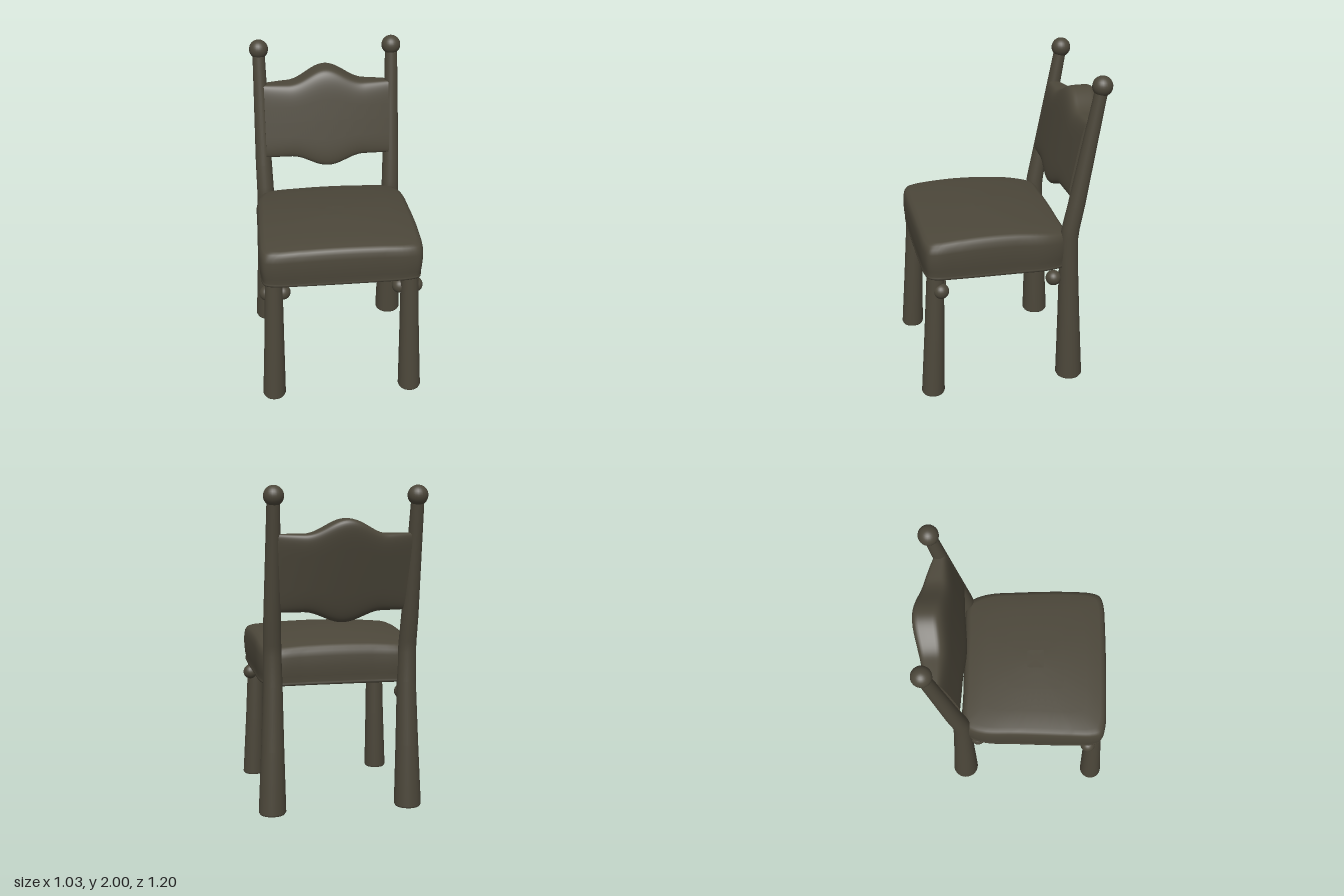
import * as THREE from 'three';

// Skin a stack of closed rings and close both ends with flat caps.
function loft(rings) {
  const n = rings[0].length, pos = [], index = [];
  rings.forEach(r => r.forEach(p => pos.push(p.x, p.y, p.z)));
  for (let i = 0; i < rings.length - 1; i++) {
    for (let j = 0; j < n; j++) {
      const a = i * n + j, b = i * n + (j + 1) % n;
      index.push(a, a + n, b, b, a + n, b + n);
    }
  }
  [rings[0], rings[rings.length - 1]].forEach((ring, end) => {
    const c = new THREE.Vector3();
    ring.forEach(p => c.addScaledVector(p, 1 / n));
    const base = pos.length / 3;
    [c, ...ring].forEach(p => pos.push(p.x, p.y, p.z));
    for (let j = 0; j < n; j++) {
      const a = base + 1 + j, b = base + 1 + (j + 1) % n;
      if (end) index.push(base, b, a);
      else index.push(base, a, b);
    }
  });
  const g = new THREE.BufferGeometry();
  g.setAttribute('position', new THREE.Float32BufferAttribute(pos, 3));
  g.setIndex(index);
  g.computeVertexNormals();
  return g;
}

// Round pole through stations [x, y, z, radius].
function pole(stations, side) {
  return loft(stations.map(([x, y, z, r]) => Array.from({ length: 28 }, (_, j) => {
    const a = j / 28 * Math.PI * 2;
    return new THREE.Vector3(side * x + r * Math.cos(a), y, z + r * Math.sin(a));
  })));
}

// Cushion: a rounded outline stacked in layers up to a domed top.
function seatGeometry() {
  const half = [[0.2, -0.345], [0.42, -0.34], [0.455, -0.3], [0.485, -0.2], [0.492, 0],
    [0.5, 0.35], [0.495, 0.49], [0.475, 0.54], [0.42, 0.56], [0.25, 0.568]];
  const full = [...half, ...half.map(([x, z]) => [-x, z]).reverse()];
  const outline = new THREE.CatmullRomCurve3(
    full.map(([x, z]) => new THREE.Vector3(x, 0, z)), true).getPoints(100).slice(0, -1);
  // [outline scale, height fraction]
  const layers = [[0.96, 0], [0.985, 0.02], [0.988, 0.07], [0.978, 0.1], [0.992, 0.25], [1, 0.5],
    [0.998, 0.75], [0.985, 0.88], [0.96, 0.96], [0.91, 0.995], [0.7, 1], [0.4, 1], [0.12, 1]];
  const zc = 0.115;
  return loft(layers.map(([s, f]) => outline.map(p => {
    const x = p.x * s, z = zc + (p.z - zc) * s;
    const bottom = 0.8 + 0.035 * z;
    const top = 1.09 - 0.1 * x * x - 0.2 * (z - 0.2) ** 2;
    return new THREE.Vector3(x, bottom + (top - bottom) * f, z);
  })));
}

// Leaning back panel with a wavy top and bottom, bowed towards the rear.
function backGeometry() {
  const soft = v => Math.sign(v) * Math.abs(v) ** 0.4;
  const bump = (x, w) => Math.abs(x) < w ? 0.5 + 0.5 * Math.cos(Math.PI * x / w) : 0;
  const rings = [], steps = 48, n = 56;
  for (let i = 0; i <= steps; i++) {
    const x = -0.405 + 0.81 * i / steps;
    const bow = 1 - (x / 0.405) ** 2;
    const top = 1.72 + 0.09 * bump(x, 0.25);
    const low = 1.25 - 0.068 * bump(x, 0.24);
    rings.push(Array.from({ length: n }, (_, j) => {
      const a = j / n * Math.PI * 2;
      const y = (top + low) / 2 + (top - low) / 2 * soft(Math.cos(a));
      const h = y - 1.25;
      const front = -0.33 + 0.02 * bow - 0.2 * h;
      const back = -0.41 - 0.055 * bow - (0.22 + 0.07 * bow) * h;
      const z = (front + back) / 2 - (front - back) / 2 * soft(Math.sin(a));
      return new THREE.Vector3(x, y, z);
    }));
  }
  return loft(rings);
}

export function createModel() {
  const model = new THREE.Group();
  const wood = new THREE.MeshStandardMaterial({ color: 0x4c473a });
  wood.name = 'dark wood';

  const add = (name, geometry, x = 0, y = 0, z = 0) => {
    const mesh = new THREE.Mesh(geometry, wood);
    mesh.name = name;
    mesh.position.set(x, y, z);
    model.add(mesh);
  };
  const ball = r => new THREE.SphereGeometry(r, 24, 16);

  add('seat', seatGeometry());
  add('backrest', backGeometry());

  for (const side of [1, -1]) {
    const label = side > 0 ? 'left' : 'right';
    // Front leg, flared towards the floor
    add(label + 'FrontLeg', pole([[0.436, 0, 0.529, 0.066], [0.436, 0.012, 0.529, 0.072],
      [0.426, 0.4, 0.511, 0.062], [0.416, 0.85, 0.49, 0.053]], side));
    // Rear leg running up into the leaning back post
    add(label + 'BackPost', pole([[0.43, 0, -0.365, 0.078], [0.43, 0.012, -0.365, 0.085],
      [0.424, 0.4, -0.356, 0.071], [0.418, 0.8, -0.347, 0.059], [0.42, 0.98, -0.345, 0.056],
      [0.421, 1.05, -0.354, 0.055], [0.424, 1.2, -0.383, 0.053], [0.428, 1.92, -0.51, 0.039]], side));
    add(label + 'PostFinial', ball(0.061), side * 0.427, 1.94, -0.515);
    // Small knobs under the seat
    add(label + 'OuterKnob', ball(0.048), side * 0.458, 0.73, 0.465);
    add(label + 'InnerKnob', ball(0.048), side * 0.362, 0.73, 0.465);
    add(label + 'BackKnob', ball(0.048), side * 0.415, 0.71, -0.252);
  }
  return model;
}
